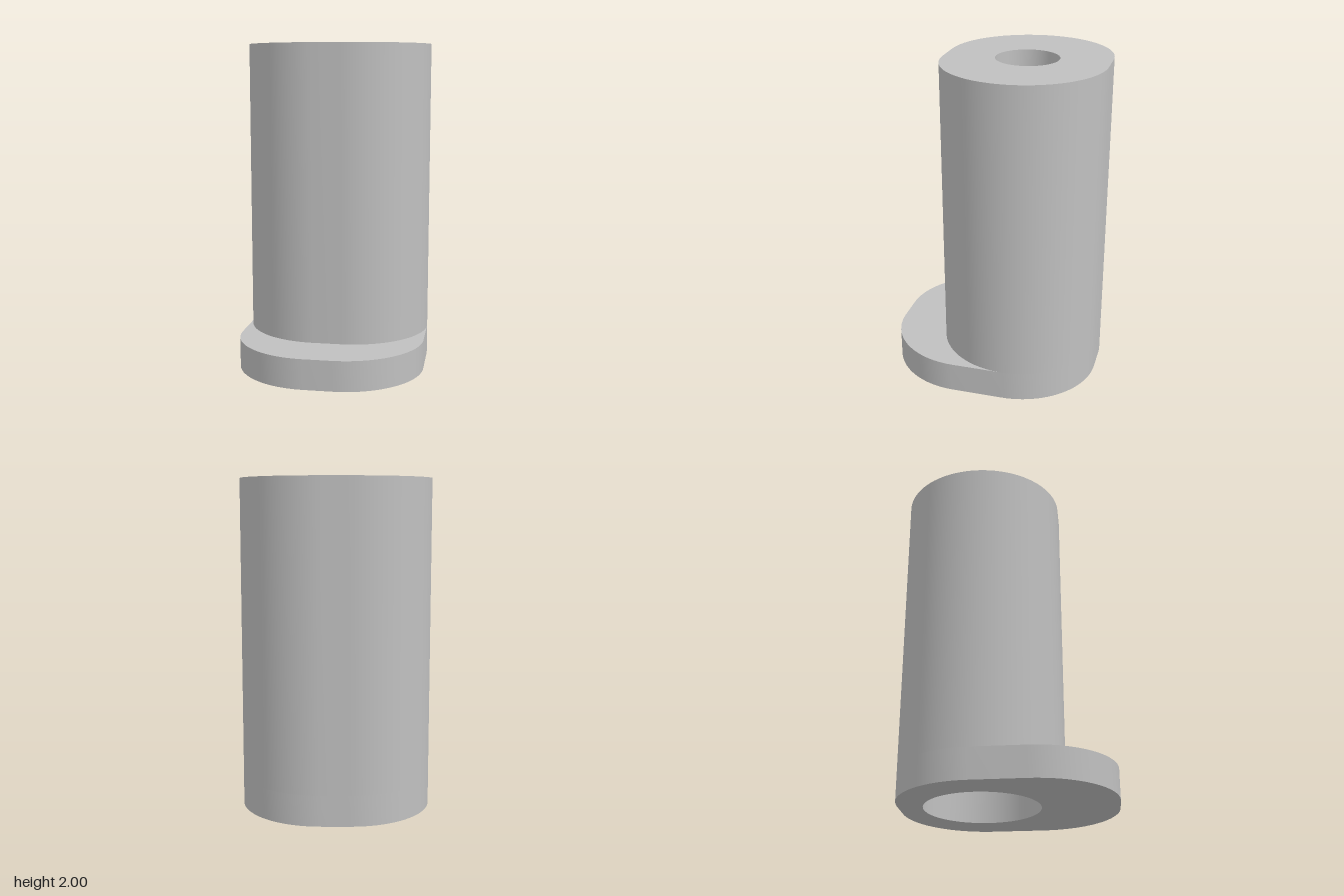
import * as THREE from 'three';
import { toCreasedNormals } from 'three/addons/utils/BufferGeometryUtils.js';

const HALF_FLAT = 0.085, RADIUS = 0.492;      // rounded outline: half width 0.577
const AXIS_Z = -0.16, FLANGE_Z = 0.157;       // arc centres of barrel and flange nose
const FLANGE_TOP = 0.185, SHOULDER = 1.8, HEIGHT = 2;
const BORE = 0.191, SOCKET = 0.35;

const arc = (cx, cz, r, start, sweep, n) =>
  Array.from({ length: n + 1 }, (_, i) => {
    const a = start + (sweep * i) / n;
    return new THREE.Vector2(cx + r * Math.cos(a), cz + r * Math.sin(a));
  });

// Two quarter arcs joined by a flat, across the front half
const frontHalf = (z) => [
  ...arc(HALF_FLAT, z, RADIUS, 0, Math.PI / 2, 24),
  ...arc(-HALF_FLAT, z, RADIUS, Math.PI / 2, Math.PI / 2, 24),
];
const backHalf = () => [
  ...arc(-HALF_FLAT, AXIS_Z, RADIUS, Math.PI, Math.PI / 2, 24),
  ...arc(HALF_FLAT, AXIS_Z, RADIUS, Math.PI * 1.5, Math.PI / 2, 24),
];
const circle = (r) => arc(0, AXIS_Z, r, 0, Math.PI * 2, 64).slice(0, -1);

// Upright wall along a closed (x, z) outline
function wall(points, y0, y1, inward = false) {
  const pos = [];
  points.forEach((p, i) => {
    const q = points[(i + 1) % points.length];
    if (p.distanceTo(q) < 1e-5) return;
    const a = [p.x, y0, p.y], b = [q.x, y0, q.y], c = [q.x, y1, q.y], d = [p.x, y1, p.y];
    const quad = inward ? [a, b, c, a, c, d] : [a, c, b, a, d, c];
    pos.push(...quad.flat());
  });
  const geometry = new THREE.BufferGeometry();
  geometry.setAttribute('position', new THREE.Float32BufferAttribute(pos, 3));
  return toCreasedNormals(geometry, Math.PI / 6);
}

// Level face inside an (x, z) outline, looking up or down
function face(points, y, up, hole) {
  const s = up ? -1 : 1;
  const map = (list) => list.map((p) => new THREE.Vector2(p.x, p.y * s));
  const shape = new THREE.Shape(map(points));
  if (hole) shape.holes.push(new THREE.Path(map(hole)));
  return new THREE.ShapeGeometry(shape).rotateX((s * Math.PI) / 2).translate(0, y, 0);
}

export function createModel() {
  const model = new THREE.Group();
  const grey = new THREE.MeshStandardMaterial({ color: 0xc0c0c0 });
  grey.name = 'light grey';
  const add = (name, geometry) => {
    const mesh = new THREE.Mesh(geometry, grey);
    mesh.name = name;
    model.add(mesh);
  };

  const barrel = [...frontHalf(AXIS_Z), ...backHalf()];
  const flange = [...frontHalf(FLANGE_Z), ...backHalf()];
  const ledge = [...frontHalf(FLANGE_Z), ...frontHalf(AXIS_Z).reverse()];

  // Flange
  add('flangeWall', wall(flange, 0, FLANGE_TOP));
  add('flangeLedge', face(ledge, FLANGE_TOP, true));
  add('baseFace', face(flange, 0, false, circle(SOCKET)));

  // Barrel
  add('barrelWall', wall(barrel, FLANGE_TOP, HEIGHT));
  add('topFace', face(barrel, HEIGHT, true, circle(BORE)));

  // Stepped bore: wide socket from below, narrow hole at the top
  add('socketWall', wall(circle(SOCKET), 0, SHOULDER, true));
  add('socketShoulder', face(circle(SOCKET), SHOULDER, false, circle(BORE)));
  add('boreWall', wall(circle(BORE), SHOULDER, HEIGHT, true));

  return model;
}
